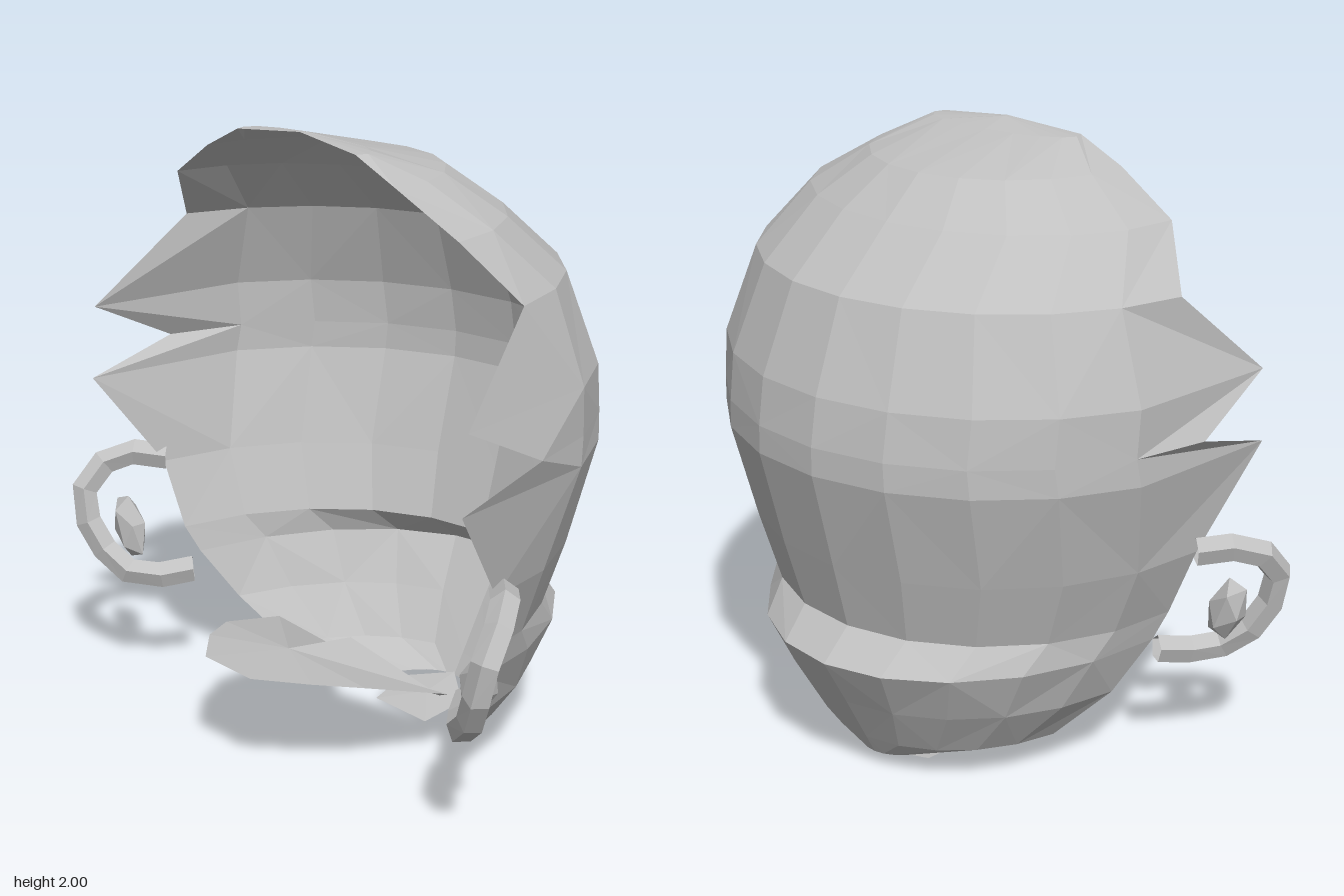
import * as THREE from 'three';

const grey = new THREE.MeshStandardMaterial({ color: 0xc0c0c0, side: THREE.DoubleSide, flatShading: true });
grey.name = 'grey';

function makeMesh(name, geometry) {
  const mesh = new THREE.Mesh(geometry, grey);
  mesh.name = name;
  return mesh;
}

function facets(points, index) {
  const g = new THREE.BufferGeometry();
  g.setAttribute('position', new THREE.Float32BufferAttribute(points.flat(), 3));
  g.setIndex(index);
  const flat = g.toNonIndexed();
  flat.computeVertexNormals();
  return flat;
}

// Open shell of the head: rings of [y, half width, back z, front edge z, spike z]
const RINGS = [
  [2.0, 0.0, 0.31, 0.32],
  [1.975, 0.28, 0.2, 0.33],
  [1.9, 0.43, -0.12, 0.32],
  [1.78, 0.64, -0.27, 0.28],
  [1.6, 0.77, -0.48, 0.15],
  [1.32, 0.87, -0.59, 0.16, 0.46],
  [1.17, 0.865, -0.615, 0.16],
  [1.08, 0.87, -0.615, 0.18, 0.48],
  [0.76, 0.79, -0.53, 0.26],
  [0.54, 0.71, -0.47, 0.24],
  [0.45, 0.68, -0.58, 0.2],
  [0.28, 0.6, -0.48, 0.1],
  [0.12, 0.45, -0.39, 0.0],
  [0.05, 0.14, -0.35, -0.24],
];
const COLS = 5;

function ringPoint([y, w, back, front, spike], i) {
  const a = Math.abs(i);
  const centre = Math.min(0.3, front + 0.15);
  const depth = Math.max(centre - back, 0.01);
  const end = Math.acos(Math.max(-1, Math.min(1, (centre - front) / depth)));
  const phi = end * a / COLS;
  const x = Math.min(w, w * Math.sin(phi) / Math.sin(Math.min(end, Math.PI / 2)));
  const z = a === COLS && spike ? spike : centre - depth * Math.cos(phi);
  return [Math.sign(i) * x, y, z];
}

function shellGeometry() {
  const points = [], index = [], n = 2 * COLS + 1;
  for (const ring of RINGS) for (let i = -COLS; i <= COLS; i++) points.push(ringPoint(ring, i));
  for (let r = 0; r < RINGS.length - 1; r++) {
    for (let c = 0; c < n - 1; c++) {
      const a = r * n + c, b = a + 1, d = a + n, e = d + 1;
      // Diagonals alternate, mirrored about the middle
      const flip = (r + c + (c < COLS ? 1 : 0)) % 2;
      if (flip) index.push(a, b, d, b, e, d);
      else index.push(a, b, e, a, e, d);
    }
  }
  return facets(points, index);
}

// Thin sheet from half an outline, fanned about a middle point
function sheetGeometry(half, middle) {
  const mirrored = half.filter(p => p[0] > 0).reverse().map(([x, y, z]) => [-x, y, z]);
  const rim = [...half, ...mirrored];
  const index = [];
  rim.forEach((_, i) => index.push(0, i + 1, (i + 1) % rim.length + 1));
  return facets([middle, ...rim], index);
}

// Ear: curled rim with a faceted inner bowl
function makeEar(side) {
  const ear = new THREE.Group();
  ear.name = side > 0 ? 'leftEar' : 'rightEar';
  const path = [
    [0.8, 0.77, 0.24], [0.92, 0.775, 0.36], [0.96, 0.65, 0.475],
    [0.89, 0.47, 0.45], [0.78, 0.385, 0.39], [0.67, 0.4, 0.24],
  ].map(([x, y, z]) => new THREE.Vector3(side * x, y, z));
  const rim = new THREE.TubeGeometry(new THREE.CatmullRomCurve3(path), 8, 0.045, 5);
  ear.add(makeMesh('earRim', rim));
  const bowl = makeMesh('earBowl', new THREE.IcosahedronGeometry(1, 0));
  bowl.scale.set(0.065, 0.12, 0.05);
  bowl.position.set(side * 0.84, 0.54, 0.375);
  bowl.rotation.z = -side * 0.35;
  ear.add(bowl);
  return ear;
}

export function createModel() {
  const model = new THREE.Group();
  model.name = 'headShell';
  model.add(makeMesh('headBack', shellGeometry()));
  model.add(makeEar(1), makeEar(-1));

  // Projecting sheet, drooping to two points at the back
  model.add(makeMesh('frontFlap', sheetGeometry([
    [0, 0.33, 0.12], [0.25, 0.16, -0.04], [0.41, 0.26, 0.08],
    [0.34, 0.345, 0.36], [0.25, 0.37, 0.5], [0.11, 0.38, 0.625],
  ], [0, 0.37, 0.38])));

  // Small lip under the chin
  model.add(makeMesh('chinLip', sheetGeometry([
    [0, 0.06, -0.35], [0.14, 0.03, -0.25], [0.12, 0.0, -0.1],
  ], [0, 0.03, -0.22])));
  return model;
}
